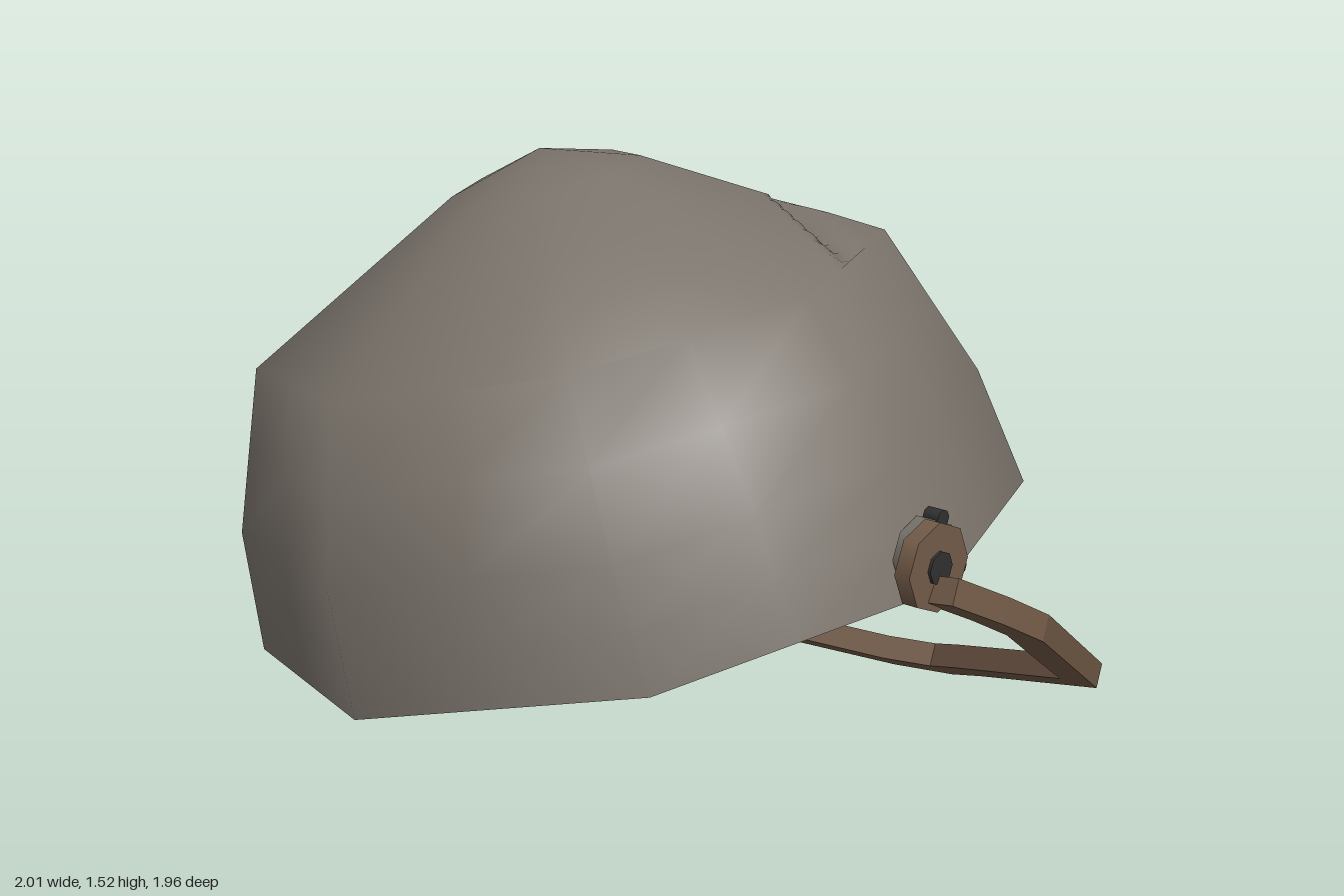
import * as THREE from 'three';

const mat = (name, color, side = THREE.FrontSide) => {
  const m = new THREE.MeshStandardMaterial({ color, side });
  m.name = name;
  return m;
};

// Tilted frame shared by the dome, lining and rim
const tilt = new THREE.Matrix4().compose(
  new THREE.Vector3(-0.075, 0.55, -0.02),
  new THREE.Quaternion().setFromUnitVectors(
    new THREE.Vector3(0, 1, 0), new THREE.Vector3(-0.13, 1, -0.17).normalize()),
  new THREE.Vector3(1, 1, 0.965));

const SIDES = 8;
const lerp = THREE.MathUtils.lerp;

// Depth of the curved dent in the crown, seen from above
function dent(x, z) {
  const along = 1 - ((z - 0.01) / 0.48) ** 2;
  if (along <= 0) return 0;
  const d = x - (0.19 - 0.45 * (z + 0.05) ** 2);
  const across = d < 0 ? 1 + d / 0.035 : 1 - d / 0.075;
  return -0.055 * Math.min(1, along * 1.3) * Math.max(0, across);
}

// Eight-sided shell from rings [height, radius, x shift], with smooth normals
function shell(rings, dentBand = -1) {
  const norms = rings.map((r, i) => {
    const a = rings[Math.max(0, i - 1)], b = rings[Math.min(rings.length - 1, i + 1)];
    return r[1] === 0 ? new THREE.Vector2(0, 1)
      : new THREE.Vector2(b[0] - a[0], a[1] - b[1]).normalize();
  });
  const pos = [], nor = [], idx = [];
  const corner = (i, k) => {
    const a = k / SIDES * Math.PI * 2, [h, r, dx] = rings[i], n = norms[i];
    return [new THREE.Vector3(r * Math.cos(a) + dx, h, r * Math.sin(a)),
      new THREE.Vector3(n.x * Math.cos(a), n.y, n.x * Math.sin(a))];
  };
  for (let i = 0; i < rings.length - 1; i++) {
    const rows = i === dentBand ? 44 : 2, cols = i === dentBand ? 12 : 2;
    for (let k = 0; k < SIDES; k++) {
      const c = [corner(i, k), corner(i, k + 1), corner(i + 1, k), corner(i + 1, k + 1)];
      const base = pos.length / 3;
      for (let u = 0; u <= rows; u++) for (let v = 0; v <= cols; v++) {
        const mix = (j) => c[0][j].clone().lerp(c[1][j], v / cols)
          .lerp(c[2][j].clone().lerp(c[3][j], v / cols), u / rows);
        const p = mix(0).applyMatrix4(tilt), n = mix(1).transformDirection(tilt);
        if (i === dentBand) {
          const e = 0.01;
          n.x -= (dent(p.x + e, p.z) - dent(p.x - e, p.z)) / (2 * e);
          n.z -= (dent(p.x, p.z + e) - dent(p.x, p.z - e)) / (2 * e);
          n.normalize();
          p.y += dent(p.x, p.z);
        }
        pos.push(p.x, p.y, p.z);
        nor.push(n.x, n.y, n.z);
        if (u < rows && v < cols) {
          const q = base + u * (cols + 1) + v, up = q + cols + 1;
          idx.push(q, up, q + 1, q + 1, up, up + 1);
        }
      }
    }
  }
  const g = new THREE.BufferGeometry();
  g.setAttribute('position', new THREE.Float32BufferAttribute(pos, 3));
  g.setAttribute('normal', new THREE.Float32BufferAttribute(nor, 3));
  g.setIndex(idx);
  return g;
}

// Mitred flat-faced bar; material 0 brown, 1 grey, 2 dark; top colour per segment
function bar(points, tops, width, thick) {
  const up = new THREE.Vector3(0.55, 1, -0.13).normalize();
  const P = points.map((p) => new THREE.Vector3(...p));
  const dir = (i) => P[i + 1].clone().sub(P[i]).normalize();
  const sections = P.map((p, i) => {
    const d0 = dir(Math.max(0, i - 1)), d1 = dir(Math.min(P.length - 2, i));
    const side = d0.clone().add(d1).cross(up).normalize();
    side.multiplyScalar(width / 2 / Math.sqrt((1 + d0.dot(d1)) / 2));
    const h = up.clone().multiplyScalar(thick / 2);
    return [[1, 1], [-1, 1], [-1, -1], [1, -1]].map(([s, t]) =>
      p.clone().addScaledVector(side, s).addScaledVector(h, t));
  });
  const g = new THREE.BufferGeometry(), pos = [];
  const quad = (a, b, c, d, m) => {
    g.addGroup(pos.length / 3, 6, m);
    for (const v of [a, b, c, a, c, d]) pos.push(v.x, v.y, v.z);
  };
  for (let i = 0; i < P.length - 1; i++) for (let j = 0; j < 4; j++) {
    const s = sections[i], e = sections[i + 1], k = (j + 1) % 4;
    quad(s[j], e[j], e[k], s[k], j === 0 ? tops[i] : 0);
  }
  const s = sections[0], e = sections[P.length - 1];
  quad(s[0], s[1], s[2], s[3], 0);
  quad(e[3], e[2], e[1], e[0], 0);
  g.setAttribute('position', new THREE.Float32BufferAttribute(pos, 3));
  g.computeVertexNormals();
  return g;
}

export function createModel() {
  const model = new THREE.Group();
  const iron = mat('dull iron', 0x7a736b);
  const lining = mat('dark lining', 0x3a3a3a, THREE.DoubleSide);
  const rust = mat('rusty brown', 0x735b48, THREE.DoubleSide);
  const grey = mat('worn grey', 0x75716b, THREE.DoubleSide);
  const dark = mat('dark metal', 0x303030, THREE.DoubleSide);
  const add = (parent, name, geo, material) => {
    const m = new THREE.Mesh(geo, material);
    m.name = name;
    parent.add(m);
    return m;
  };

  // Dome, lining and rim
  const rings = [[0, 0.92, 0], [0.29, 0.88, -0.025], [0.66, 0.74, -0.04], [0.945, 0.22, -0.03], [1.01, 0, -0.03]];
  add(model, 'dome', shell(rings, 2), iron);
  add(model, 'lining', shell(rings.map(([h, r, dx]) =>
    [h ? h - 0.06 : 0, Math.max(0, r - 0.055), dx])), lining);
  add(model, 'rim', new THREE.RingGeometry(0.865, 0.92, SIDES).rotateX(Math.PI / 2).applyMatrix4(tilt), iron);

  // Bail handle swung down to one side
  add(model, 'handle', bar([
    [-0.16, 0.73, 0.91], [0.0, 0.65, 0.925], [0.13, 0.58, 0.93], [0.70, 0.25, 0.68],
    [0.90, 0.10, 0.20], [0.95, 0.06, 0.08], [0.91, 0.06, -0.06], [0.77, 0.09, -0.58],
    [0.26, 0.30, -0.915], [-0.09, 0.43, -0.94]],
  [0, 2, 1, 1, 0, 0, 1, 1, 0], 0.085, 0.06), [rust, grey, dark]);

  // Pivots joining the handle to the dome
  for (const [name, x, y, z, s] of [['frontPivot', -0.14, 0.77, 0.85, 1], ['backPivot', -0.1, 0.47, -0.9, -1]]) {
    const pivot = new THREE.Group();
    pivot.name = name;
    const disc = (n, r, depth, off, m, dx = 0, dy = 0) => add(pivot, n,
      new THREE.CylinderGeometry(r, r, depth, 8).toNonIndexed().rotateX(Math.PI / 2), m).position.set(dx, dy, off);
    disc('washer', 0.08, 0.05, -0.02, grey, 0.03, 0.01);
    disc('cap', 0.1, 0.04, 0.02, rust);
    disc('pin', 0.038, 0.008, 0.043, dark);
    disc('upperStud', 0.02, 0.04, -0.01, dark, 0.05, 0.09);
    disc('sideStud', 0.02, 0.05, -0.01, dark, 0.11, -0.03);
    pivot.position.set(x, y, z);
    pivot.rotation.y = s > 0 ? 0 : Math.PI;
    model.add(pivot);
  }
  return model;
}
